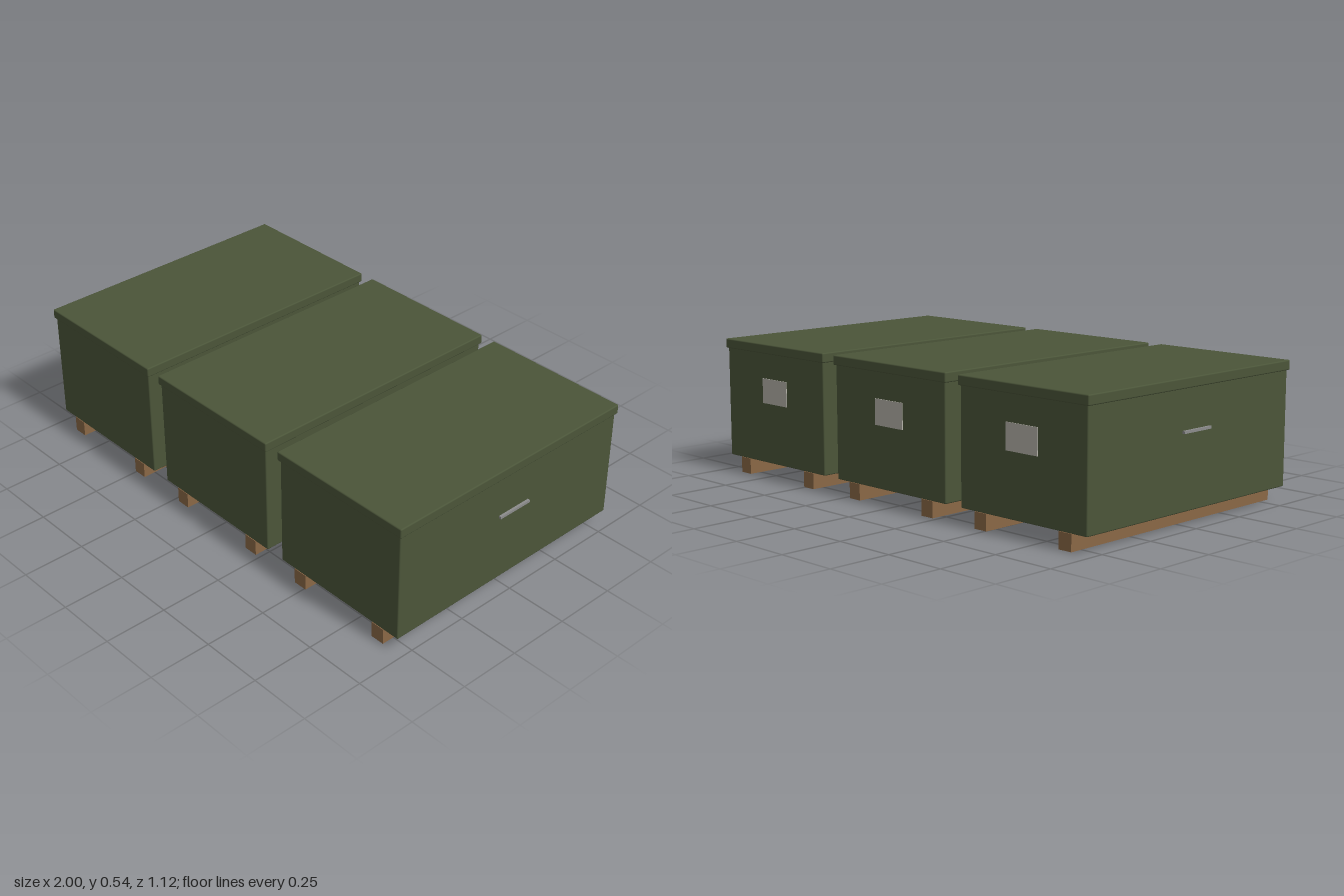
import * as THREE from 'three';
import { RoundedBoxGeometry } from 'three/addons/geometries/RoundedBoxGeometry.js';

const paint = (color) => new THREE.MeshStandardMaterial({ color });
const green = paint(0x4b5539);
const wood = paint(0x8a6846);
const metal = paint(0x8c8c8c);
const paper = paint(0xb4b2a8);

function addPart(parent, name, geometry, material, x, y, z) {
  const mesh = new THREE.Mesh(geometry, material);
  mesh.name = name;
  mesh.position.set(x, y, z);
  parent.add(mesh);
}

function createCrate() {
  const crate = new THREE.Group();

  // Softly edged box with an overhanging lid
  addPart(crate, 'body', new RoundedBoxGeometry(0.6, 0.45, 1.102, 2, 0.005), green, 0, 0.288, 0);
  addPart(crate, 'lid', new RoundedBoxGeometry(0.616, 0.038, 1.116, 2, 0.005), green, 0, 0.523, 0);

  // Label plate on the back
  addPart(crate, 'label', new THREE.BoxGeometry(0.15, 0.1, 0.006), paper, 0, 0.354, -0.551);

  // Runners underneath and grab bars on both long sides
  for (const side of [-1, 1]) {
    addPart(crate, 'runner', new THREE.BoxGeometry(0.058, 0.063, 1.102), wood, side * 0.201, 0.0315, 0);
    addPart(crate, 'handle', new THREE.BoxGeometry(0.01, 0.01, 0.15), metal, side * 0.317, 0.354, 0);
  }
  return crate;
}

export function createModel() {
  const model = new THREE.Group();
  model.name = 'crateRow';
  ['rightCrate', 'middleCrate', 'leftCrate'].forEach((name, i) => {
    const crate = createCrate();
    crate.name = name;
    crate.position.x = (i - 1) * 0.678;
    model.add(crate);
  });
  return model;
}
